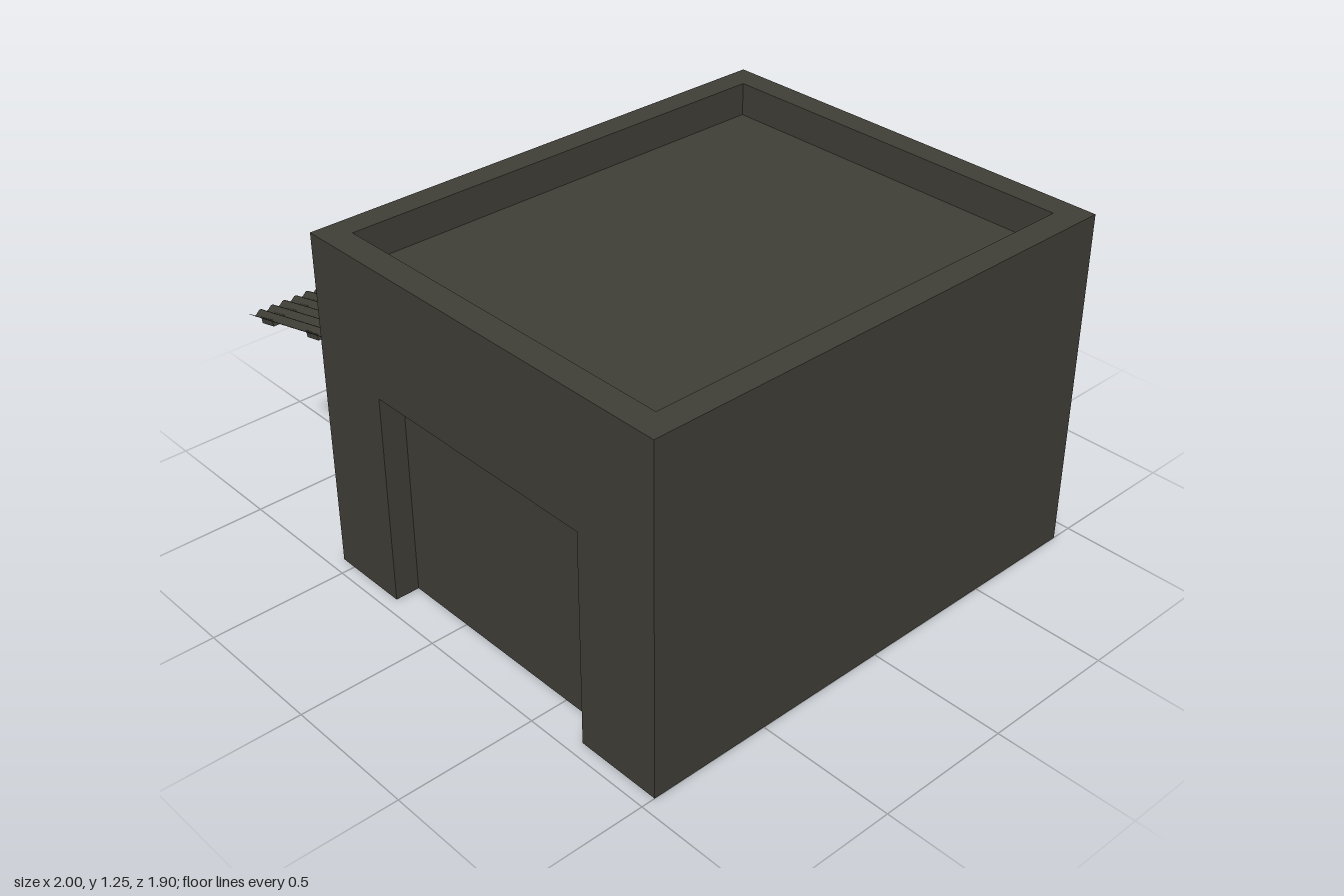
import * as THREE from 'three';
import { mergeGeometries } from 'three/addons/utils/BufferGeometryUtils.js';

const X0 = -0.56, X1 = 1, Z0 = -0.92, Z1 = 0.95, H = 1.25;

// Flat four-cornered face, corners counter-clockwise from outside
function quad(a, b, c, d) {
  const g = new THREE.BufferGeometry();
  g.setAttribute('position', new THREE.Float32BufferAttribute([a, b, c, a, c, d].flat(), 3));
  g.computeVertexNormals();
  return g;
}
const rect = (u0, u1, v0, v1, z) => quad([u0, v0, z], [u1, v0, z], [u1, v1, z], [u0, v1, z]);

// Wall sheet facing +z, with one optional recessed opening
function wallGeometry(u0, u1, opening) {
  if (!opening) return rect(u0, u1, 0, H, 0);
  const { a, b, low, top, depth } = opening, d = -depth;
  const faces = [
    rect(u0, a, 0, H, 0), rect(b, u1, 0, H, 0), rect(a, b, top, H, 0),
    rect(a, b, low, top, d),
    quad([a, low, 0], [a, low, d], [a, top, d], [a, top, 0]),
    quad([b, low, d], [b, low, 0], [b, top, 0], [b, top, d]),
    quad([a, top, d], [b, top, d], [b, top, 0], [a, top, 0]),
  ];
  if (low > 0) {
    faces.push(rect(a, b, 0, low, 0));
    faces.push(quad([a, low, 0], [b, low, 0], [b, low, d], [a, low, d]));
  }
  return mergeGeometries(faces);
}

export function createModel() {
  const model = new THREE.Group();
  const concrete = new THREE.MeshStandardMaterial({ color: 0x403f37 });
  concrete.name = 'dark concrete';
  concrete.side = THREE.DoubleSide;

  const add = (name, geometry, parent = model) => {
    const m = new THREE.Mesh(geometry, concrete);
    m.name = name;
    parent.add(m);
    return m;
  };
  const box = (name, w, h, d, x, y, z, parent) => {
    const m = add(name, new THREE.BoxGeometry(w, h, d), parent);
    m.position.set(x, y, z);
    return m;
  };

  // Four walls with garage door, side door and window recesses
  const front = add('frontWall', wallGeometry(X0, X1, { a: -0.26, b: 0.68, low: 0, top: 0.785, depth: 0.09 }));
  front.position.z = Z1;
  const back = add('backWall', wallGeometry(-X1, -X0, { a: -0.52, b: 0.09, low: 0.75, top: 0.94, depth: 0.06 }));
  back.rotation.y = Math.PI;
  back.position.z = Z0;
  const right = add('doorWall', wallGeometry(Z0, Z1, { a: 0.18, b: 0.485, low: 0, top: 0.65, depth: 0.06 }));
  right.rotation.y = -Math.PI / 2;
  right.position.x = X0;
  const left = add('plainWall', wallGeometry(-Z1, -Z0));
  left.rotation.y = Math.PI / 2;
  left.position.x = X1;

  // Parapet rim, its inner faces and the sunken roof
  const ix0 = -0.47, ix1 = 0.905, iz0 = -0.83, iz1 = 0.855, roofY = 1.13;
  const ring = [[[X0, Z0], [ix0, iz0]], [[X0, Z1], [ix0, iz1]], [[X1, Z1], [ix1, iz1]], [[X1, Z0], [ix1, iz0]]];
  const rim = [], inner = [];
  ring.forEach(([o, i], k) => {
    const [o2, i2] = ring[(k + 1) % 4];
    rim.push(quad([o[0], H, o[1]], [o2[0], H, o2[1]], [i2[0], H, i2[1]], [i[0], H, i[1]]));
    inner.push(quad([i[0], H, i[1]], [i2[0], H, i2[1]], [i2[0], roofY, i2[1]], [i[0], roofY, i[1]]));
  });
  add('parapetRim', mergeGeometries(rim));
  add('parapetInside', mergeGeometries(inner));
  add('roof', quad([ix0, roofY, iz1], [ix1, roofY, iz1], [ix1, roofY, iz0], [ix0, roofY, iz0]));

  // Sloping window sill and side door lintel
  add('windowSill', quad([0.545, 0.737, -0.95], [-0.11, 0.737, -0.95], [-0.11, 0.752, -0.86], [0.545, 0.752, -0.86]));
  box('doorLintel', 0.07, 0.08, 0.505, -0.533, 0.68, 0.323);

  // Corrugated awning sheet, tilted down away from the wall
  const awning = new THREE.Group();
  awning.name = 'awning';
  model.add(awning);
  const waves = 27, length = 1.25, zMid = 0.325;
  const sheet = new THREE.PlaneGeometry(0.44, length, 1, waves * 8).rotateX(-Math.PI / 2);
  const p = sheet.attributes.position;
  for (let i = 0; i < p.count; i++) {
    const x = p.getX(i), t = p.getZ(i) / length + 0.5;
    p.setY(i, 0.819 + x * 0.235 + 0.008 * Math.cos(t * waves * Math.PI * 2));
    p.setX(i, x - 0.78);
    p.setZ(i, p.getZ(i) + zMid);
  }
  sheet.computeVertexNormals();
  add('corrugatedSheet', sheet, awning);

  // Square bar between two points in the x-y plane
  const bar = (name, x0, y0, x1, y1, thick, width, z) => {
    const m = box(name, Math.hypot(x1 - x0, y1 - y0), thick, width, (x0 + x1) / 2, (y0 + y1) / 2, z, awning);
    m.rotation.z = Math.atan2(y1 - y0, x1 - x0);
  };
  for (const z of [-0.11, 0.76]) {
    bar('rafter', -0.96, 0.738, -0.55, 0.835, 0.028, 0.03, z);
    bar('brace', -0.84, 0.762, -0.55, 0.636, 0.022, 0.03, z);
  }
  // Purlins along the sheet
  bar('outerPurlin', -0.96, 0.759, -0.89, 0.776, 0.022, 1.2, zMid);
  bar('innerPurlin', -0.685, 0.825, -0.62, 0.84, 0.022, 1.2, zMid);

  return model;
}
